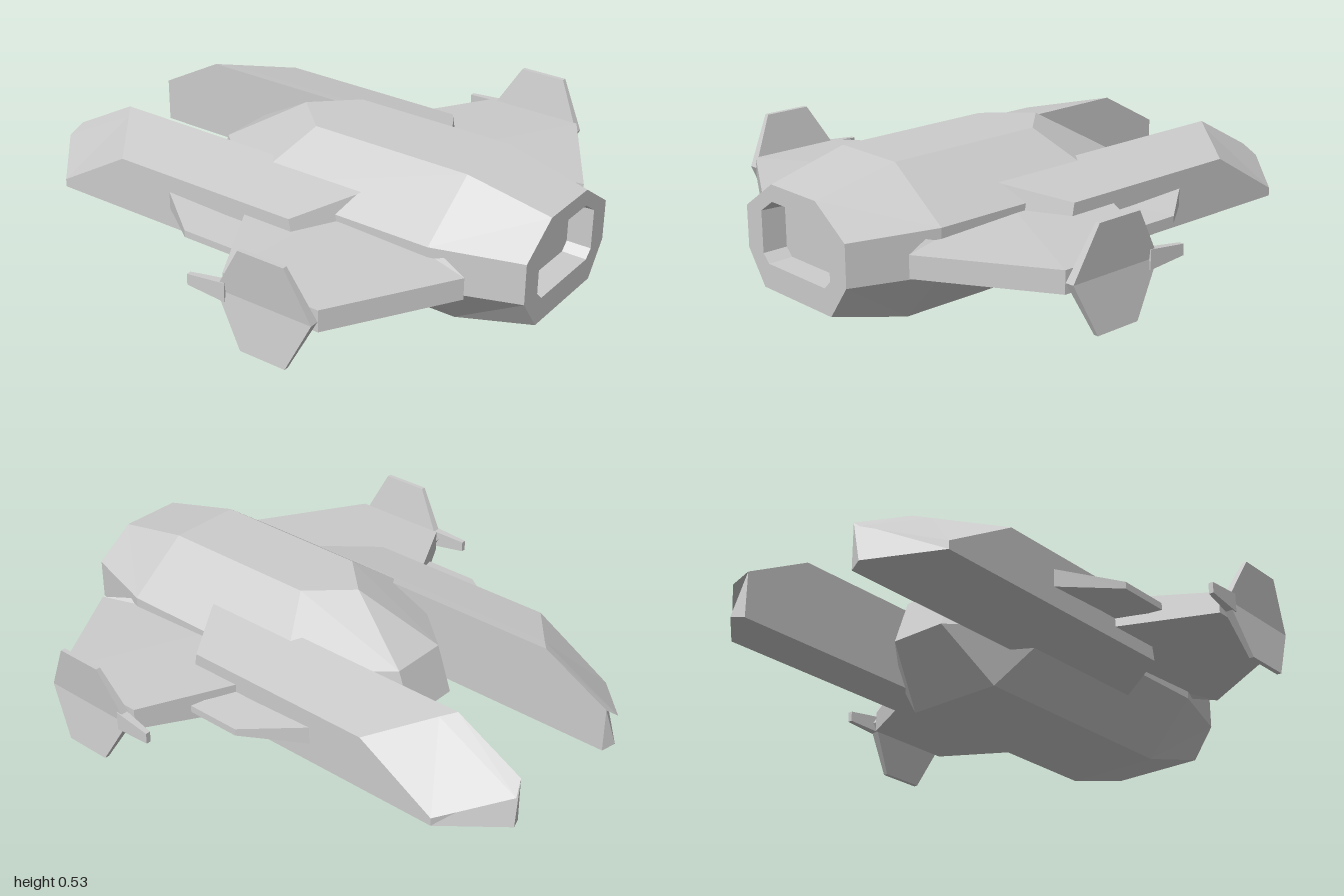
import * as THREE from 'three';

const material = new THREE.MeshStandardMaterial({ color: 0xcccccc, flatShading: true });

// Skins a list of equal-length point loops, caps both ends and faces the result outward.
function loft(name, loops, symmetric = false, side = 1) {
  const n = loops[0].length;
  const P = loops.flat().map(([x, y, z]) => new THREE.Vector3(x * side, y, z));
  let tris = [];
  for (let s = 0; s < loops.length - 1; s++) {
    for (let i = 0; i < n; i++) {
      const j = (i + 1) % n;
      const a = s * n + i, b = s * n + j, c = b + n, d = a + n;
      if (symmetric && i >= n / 2) tris.push([a, b, d], [b, c, d]);
      else tris.push([a, b, c], [a, c, d]);
    }
  }
  const last = (loops.length - 1) * n;
  for (let i = 1; i < n - 1; i++) {
    tris.push([0, i + 1, i], [last, last + i, last + i + 1]);
  }
  // drop collapsed triangles
  tris = tris.filter(([a, b, c]) =>
    P[b].clone().sub(P[a]).cross(P[c].clone().sub(P[a])).length() > 1e-7);
  const volume = tris.reduce((v, [a, b, c]) => v + P[a].dot(P[b].clone().cross(P[c])), 0);
  const out = [];
  for (const [a, b, c] of tris) {
    for (const k of volume > 0 ? [a, b, c] : [a, c, b]) out.push(P[k].x, P[k].y, P[k].z);
  }
  const geometry = new THREE.BufferGeometry();
  geometry.setAttribute('position', new THREE.Float32BufferAttribute(out, 3));
  geometry.computeVertexNormals();
  const mesh = new THREE.Mesh(geometry, material);
  mesh.name = name;
  return mesh;
}

// Full ring from a half: top centre first, then down the +x side.
const ring = half => [...half, ...half.slice(1).reverse().map(([x, y, z]) => [-x, y, z])];
const flat = (half, z) => ring(half.map(([x, y]) => [x, y, z]));

// Thin plate from an outline of [x, z, half thickness] around height y.
const plate = (outline, y) => [-1, 1].map(s => outline.map(([x, z, h]) => [x, y + s * h, z]));

export function createModel() {
  const model = new THREE.Group();

  // Octagonal hull with a recessed front opening and a faceted tail
  const recess = [[0, 0.4], [0.12, 0.4], [0.185, 0.355], [0.185, 0.205], [0.155, 0.175]];
  const nose = [[0, 0.46], [0.12, 0.46], [0.27, 0.355], [0.27, 0.205], [0.185, 0.085]];
  const body = [[0, 0.53], [0.14, 0.53], [0.37, 0.36], [0.37, 0.2], [0.185, 0]];
  const shoulder = [[0, 0.53, -0.08], [0.14, 0.53, 0.07], [0.37, 0.36, -0.06], [0.37, 0.2, -0.12], [0.185, 0, -0.23]];
  const tail = [[0, 0.36, -0.36], [0.11, 0.36, -0.36], [0.11, 0.36, -0.36], [0.11, 0.19, -0.42], [0.11, 0.19, -0.42]];
  model.add(loft('hull', [
    flat(recess.map(([x, y]) => [x * 0.97, 0.29 + (y - 0.29) * 0.97]), 0.91),
    flat(recess, 1), flat(nose, 1), flat(body, 0.69), ring(shoulder), ring(tail),
  ], true));

  // Long rear boom: front end buried in the hull, crease, then bevelled tip
  const boom = [
    [[0.25, 0.43, 0.38], [0.3, 0.42, 0.36], [0.51, 0.375, 0.23], [0.51, 0.17, 0.27], [0.3, 0.13, 0.39], [0.25, 0.12, 0.42]],
    [[0.25, 0.43, -0.72], [0.3, 0.42, -0.68], [0.51, 0.375, -0.52], [0.51, 0.17, -0.52], [0.3, 0.13, -0.68], [0.25, 0.12, -0.72]],
    [[0.25, 0.29, -0.98], [0.3, 0.25, -1], [0.51, 0.2, -0.82], [0.51, 0.17, -0.82], [0.3, 0.13, -1], [0.25, 0.12, -0.98]],
  ];

  // Main wing and the small fin behind it
  const wing = plate([[0.25, 0.3, 0.065], [0.33, 0.69, 0.062], [0.4, 0.85, 0.04],
    [0.83, 0.59, 0.04], [0.83, 0.21, 0.04], [0.51, 0.04, 0.055], [0.25, -0.08, 0.06]], 0.276);
  const rearFin = plate([[0.4, 0, 0.033], [0.45, 0.04, 0.033], [0.66, 0.11, 0.013],
    [0.66, -0.1, 0.013], [0.51, -0.3, 0.033], [0.4, -0.3, 0.033]], 0.277);

  // Hexagonal wingtip plate, leaning outward at top and bottom
  const hexagon = [[0.59, 0.275], [0.5, 0.46], [0.32, 0.46], [0.21, 0.275], [0.32, 0.09], [0.5, 0.09]];
  const tipPlate = [[0.832, 0.868], [0.865, 0.002]].map(([inner, outer], k) =>
    hexagon.map(([z, y]) => {
      const mid = y === 0.275;
      return [k ? (mid ? 0.865 : 0.885) : (mid ? inner : outer), y, z];
    }));

  // Short spike trailing from the wingtip plate
  const spike = [[0.84, 0.872, 0.035, 0.25], [0.86, 0.878, 0.02, 0.1]].map(([a, b, h, z]) =>
    [[a, 0.275 - h, z], [b, 0.275 - h, z], [b, 0.275 + h, z], [a, 0.275 + h, z]]);

  for (const [label, side] of [['left', 1], ['right', -1]]) {
    const parts = { Boom: boom, Wing: wing, RearFin: rearFin, WingtipPlate: tipPlate, WingtipSpike: spike };
    for (const [part, loops] of Object.entries(parts)) {
      model.add(loft(label + part, loops, false, side));
    }
  }
  return model;
}
